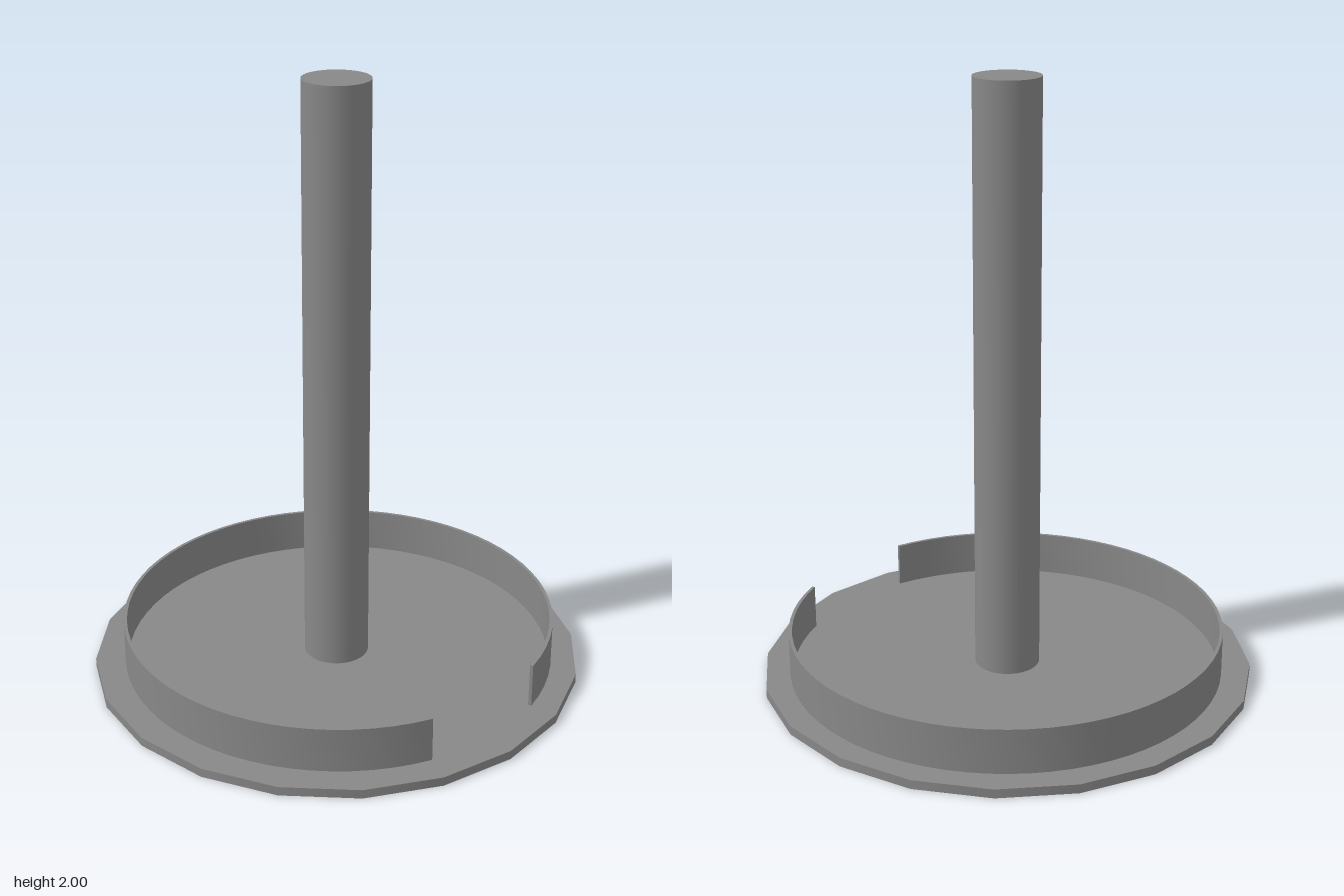
import * as THREE from 'three';
import { toCreasedNormals } from 'three/addons/utils/BufferGeometryUtils.js';

export function createModel() {
  const group = new THREE.Group();
  const material = new THREE.MeshStandardMaterial({ color: 0x888888 });
  const add = (name, geometry, x, y, z) => {
    const mesh = new THREE.Mesh(geometry, material);
    mesh.name = name;
    mesh.position.set(x, y, z);
    group.add(mesh);
  };

  // Twenty-sided base plate
  const baseHeight = 0.03;
  add('basePlate', new THREE.CylinderGeometry(0.817, 0.817, baseHeight, 20), 0, baseHeight / 2, 0);

  // Central pole, standing on the plate
  const poleHeight = 2 - baseHeight;
  add('pole', new THREE.CylinderGeometry(0.108, 0.108, poleHeight, 48), 0, baseHeight + poleHeight / 2, 0);

  // Thin upright rim with a 36 degree opening at the front
  const start = THREE.MathUtils.degToRad(-72);
  const end = THREE.MathUtils.degToRad(252);
  const outline = new THREE.Shape();
  outline.absarc(0, 0, 0.724, start, end, false);
  outline.absarc(0, 0, 0.713, end, start, true);
  outline.closePath();
  const rim = new THREE.ExtrudeGeometry(outline, { depth: 0.15, bevelEnabled: false, curveSegments: 32 });
  rim.rotateX(-Math.PI / 2);
  add('rim', toCreasedNormals(rim, Math.PI / 6), 0.008, baseHeight, 0);

  return group;
}
